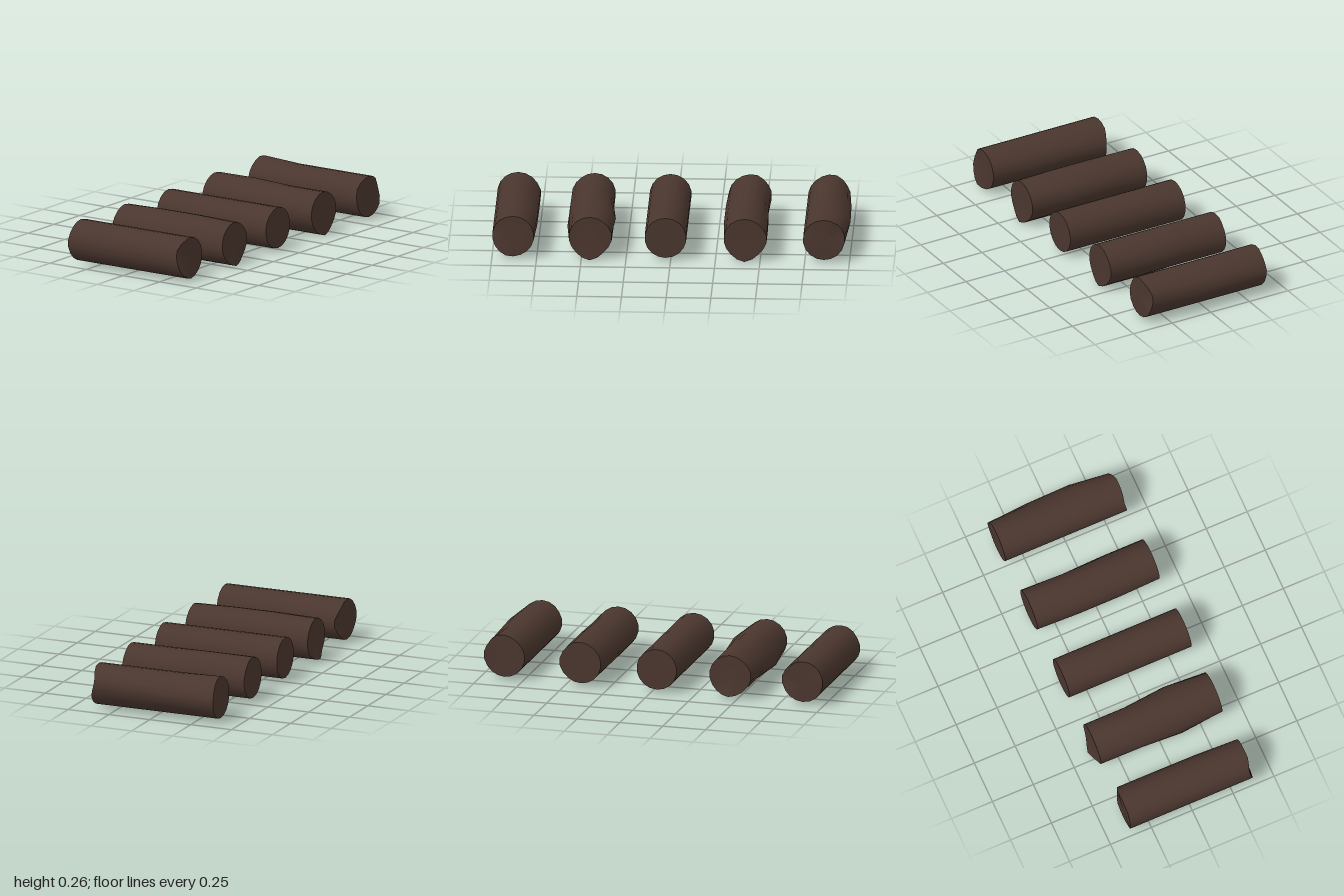
import * as THREE from 'three';
import { mergeVertices } from 'three/addons/utils/BufferGeometryUtils.js';

const R = 0.117, LEN = 0.746, CY = 0.136;

// Each log: centre x and dents [ring (0 back .. 3 front), angle in degrees (0 = +x, 90 = up), radial push, z push]
const LOGS = [
  { x: -0.881, dents: [[0, 0, 0.014, 0.026], [0, 180, 0, -0.008], [1, 0, 0.014, 0], [2, 0, 0.012, 0], [3, 155, 0, -0.02], [3, 250, 0, 0.015]] },
  { x: -0.453, dents: [[0, 270, 0, -0.026], [0, 180, 0.012, 0], [1, 180, 0.014, 0], [2, 20, 0.028, 0], [2, 205, 0.028, 0],
    [2, 270, 0.014, 0], [3, 270, 0.015, 0.015], [3, 0, 0.01, 0], [1, 90, 0.008, 0], [2, 90, 0.008, 0]] },
  { x: -0.029, dents: [] },
  { x: 0.413, dents: [[0, 0, 0.01, 0], [1, 180, 0.01, 0], [2, 180, 0.01, 0], [2, 0, 0.01, 0], [2, 270, 0.015, 0],
    [3, 270, 0.015, 0.01], [3, 0, 0.01, 0], [1, 70, 0.01, 0], [0, 70, 0.008, 0]] },
  { x: 0.857, dents: [[0, 75, 0.014, 0], [0, 10, 0.004, -0.006], [1, 10, 0.02, 0], [2, 15, 0.028, 0], [3, 20, 0, -0.024], [3, 150, 0, -0.01]] },
];

function logGeometry(dents) {
  const geo = new THREE.CylinderGeometry(R, R, LEN, 18, 3);
  geo.rotateX(Math.PI / 2);
  geo.deleteAttribute('uv');
  const g = mergeVertices(geo, 1e-4); // closes the seam, keeps the sharp end rims
  const p = g.attributes.position;
  for (let i = 0; i < p.count; i++) {
    const x = p.getX(i), y = p.getY(i), z = p.getZ(i);
    const r = Math.hypot(x, y);
    if (r < 0.01) continue;
    const ring = Math.round((z / LEN + 0.5) * 3);
    const angle = Math.atan2(y, x);
    let dr = 0, dz = 0;
    for (const [k, deg, pushR, pushZ] of dents) {
      if (k !== ring) continue;
      const d = angle - THREE.MathUtils.degToRad(deg);
      const away = Math.abs(Math.atan2(Math.sin(d), Math.cos(d)));
      const w = Math.max(0, 1 - away / 0.8);
      dr += pushR * w;
      dz += pushZ * w;
    }
    const s = (r + dr) / r;
    p.setXYZ(i, x * s, y * s, z + dz);
  }
  g.computeVertexNormals();
  return g;
}

export function createModel() {
  const group = new THREE.Group();
  group.name = 'logRow';
  const bark = new THREE.MeshStandardMaterial({ color: 0x4a362e });
  bark.name = 'darkBark';
  LOGS.forEach(({ x, dents }, i) => {
    const log = new THREE.Mesh(logGeometry(dents), bark);
    log.name = `log${i + 1}`;
    log.position.set(x, CY, 0.002);
    group.add(log);
  });
  return group;
}
